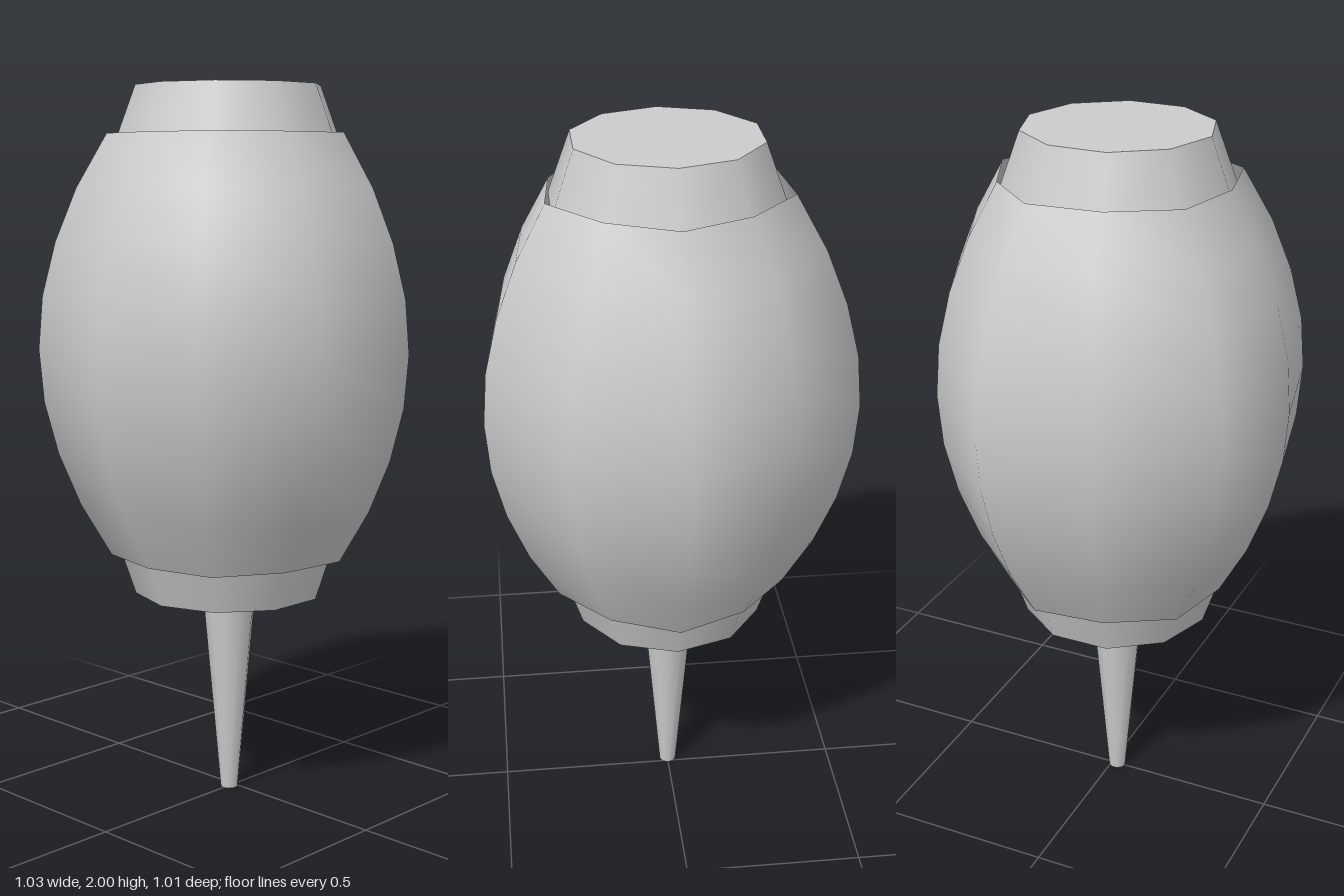
import * as THREE from 'three';
import { mergeVertices } from 'three/addons/utils/BufferGeometryUtils.js';

const CENTER_X = -0.018;
const SIDES = 10;

export function createModel() {
  const model = new THREE.Group();
  const grey = new THREE.MeshStandardMaterial({ color: 0xcccccc });
  const greyOpen = new THREE.MeshStandardMaterial({ color: 0xcccccc, side: THREE.DoubleSide });

  // Ten-sided tapered piece between two heights, with flat ends
  function taper(name, rTop, rBottom, yBottom, yTop) {
    const geometry = new THREE.CylinderGeometry(rTop, rBottom, yTop - yBottom, SIDES, 1, false, Math.PI / 2);
    const mesh = new THREE.Mesh(geometry, grey);
    mesh.name = name;
    mesh.position.set(CENTER_X, (yTop + yBottom) / 2, 0);
    model.add(mesh);
  }

  // Bulging open shell: a lathe whose round section is replaced by an uneven ten-sided outline
  const half = [[0.515, 0], [0.385, -0.293], [0.148, -0.505], [-0.17, -0.475], [-0.445, -0.312], [-0.515, 0]];
  const outline = [...half, ...half.slice(1, 5).reverse().map(([x, z]) => [x, -z])];
  const scales = [0.636, 0.795, 0.907, 0.977, 1, 0.977, 0.907, 0.795, 0.636];
  const profile = scales.map((s, j) => new THREE.Vector2(s, 0.704 + j * 0.1458));
  let shell = new THREE.LatheGeometry(profile, SIDES);
  const position = shell.attributes.position;
  for (let i = 0; i <= SIDES; i++) {
    const [x, z] = outline[i % SIDES];
    scales.forEach((s, j) => {
      const k = i * scales.length + j;
      position.setX(k, x * s - 0.016 * (1 - s));
      position.setZ(k, z * s);
    });
  }
  shell.deleteAttribute('uv');
  shell.deleteAttribute('normal');
  shell = mergeVertices(shell);
  shell.computeVertexNormals();
  const body = new THREE.Mesh(shell, greyOpen);
  body.name = 'body';
  model.add(body);

  // End caps reaching a little way into the shell, and the thin stem below
  taper('topCap', 0.257, 0.32, 1.83, 2);
  taper('bottomCap', 0.32, 0.268, 0.59, 0.745);
  taper('stem', 0.077, 0.025, 0, 0.59);

  return model;
}
